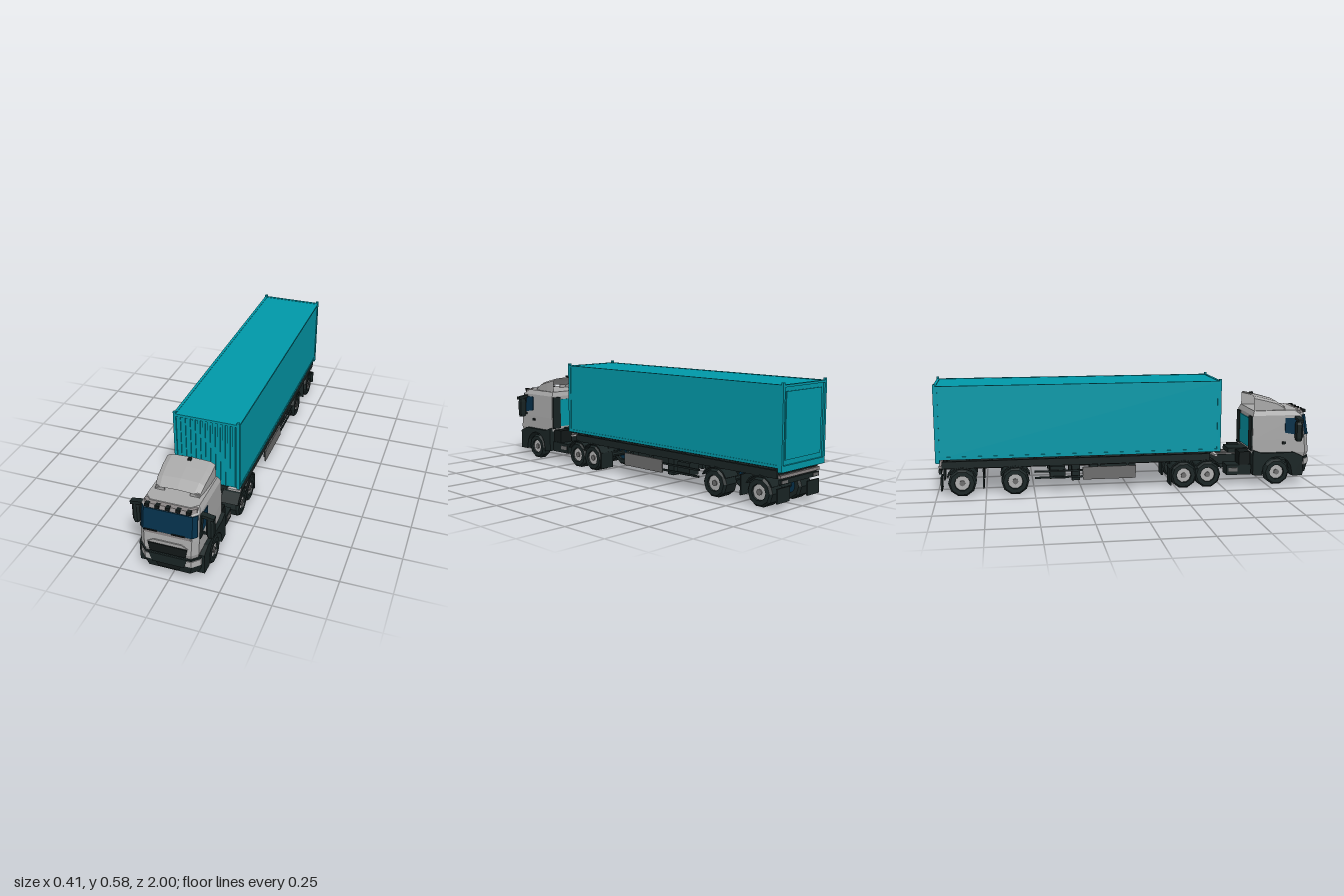
import * as THREE from 'three';

const mat = (name, color, side = THREE.FrontSide) => {
  const m = new THREE.MeshStandardMaterial({ color, side, flatShading: true });
  m.name = name;
  return m;
};

export function createModel() {
  const teal = mat('containerTeal', 0x0098a8);
  const paint = mat('cabGrey', 0xa8a8a8, THREE.DoubleSide);
  const dark = mat('darkPlastic', 0x192424);
  const black = mat('grilleBlack', 0x111818);
  const glass = mat('glassBlue', 0x04304a);
  const metal = mat('paleMetal', 0xb0b0b0);
  const midGrey = mat('midGrey', 0x6c6c6c);
  const trimGrey = mat('trimGrey', 0x8a8585);

  const root = new THREE.Group();
  root.name = 'articulatedTruck';
  const group = (name) => {
    const g = new THREE.Group();
    g.name = name;
    root.add(g);
    return g;
  };
  const add = (parent, name, geo, material) => {
    const m = new THREE.Mesh(geo, material);
    m.name = name;
    parent.add(m);
    return m;
  };
  // Box given by its extents
  const box = (parent, name, material, x0, x1, y0, y1, z0, z1) =>
    add(parent, name, new THREE.BoxGeometry(x1 - x0, y1 - y0, z1 - z0)
      .translate((x0 + x1) / 2, (y0 + y1) / 2, (z0 + z1) / 2), material);
  // The same box on both sides, given by its inner and outer x
  const pair = (parent, name, material, xi, xo, ...rest) => {
    box(parent, name + 'Left', material, xi, xo, ...rest);
    box(parent, name + 'Right', material, -xo, -xi, ...rest);
  };
  // Flat-faced skin over rows of [x, y, z] points
  const skin = (rows, closed) => {
    const v = [];
    const n = rows[0].length;
    for (let r = 0; r < rows.length - 1; r++) {
      for (let i = 0; i < (closed ? n : n - 1); i++) {
        const j = (i + 1) % n, lo = rows[r], hi = rows[r + 1];
        v.push(...lo[i], ...lo[j], ...hi[j], ...lo[i], ...hi[j], ...hi[i]);
      }
    }
    if (closed) {
      const lo = rows[0], hi = rows[rows.length - 1];
      for (let i = 1; i < n - 1; i++) v.push(...hi[0], ...hi[i], ...hi[i + 1], ...lo[0], ...lo[i + 1], ...lo[i]);
    }
    const g = new THREE.BufferGeometry();
    g.setAttribute('position', new THREE.Float32BufferAttribute(v, 3));
    g.computeVertexNormals();
    return g;
  };
  // Body from level outlines [y, half width, rear z, front z, corner cut]
  const loft = (levels) => skin(levels.map(([y, w, b, f, c]) =>
    [[-w + c, y, f], [w - c, y, f], [w, y, f - c], [w, y, b], [-w, y, b], [-w, y, f - c]]), true);
  // Side profile of [z, y] points, extruded across x
  const profile = (pts, x, width) =>
    new THREE.ExtrudeGeometry(new THREE.Shape(pts.map(([z, y]) => new THREE.Vector2(z, y))),
      { depth: width, bevelEnabled: false }).rotateY(-Math.PI / 2).translate(x + width / 2, 0, 0);
  const arc = (z, y, r, a0, a1, n = 8) => Array.from({ length: n + 1 }, (_, i) => {
    const a = THREE.MathUtils.degToRad(a0 + (a1 - a0) * i / n);
    return [z + r * Math.cos(a), y + r * Math.sin(a)];
  });
  // Front plate with a trapezoid outline
  const plate = (wTop, wBottom, y0, y1, z) => new THREE.ExtrudeGeometry(new THREE.Shape(
    [[-wBottom, y0], [wBottom, y0], [wTop, y1], [-wTop, y1]].map((p) => new THREE.Vector2(...p))),
    { depth: 0.008, bevelEnabled: false }).translate(0, 0, z);

  // Container
  const con = group('container');
  box(con, 'containerBody', teal, -0.169, 0.165, 0.203, 0.574, -0.99, 0.478);
  box(con, 'containerFloor', dark, -0.165, 0.161, 0.197, 0.203, -0.985, 0.47);
  for (const x of [-0.172, 0.168]) {
    const x0 = x < 0 ? x : x - 0.014;
    box(con, 'frontPost', teal, x0, x0 + 0.014, 0.2, 0.575, 0.465, 0.485);
    box(con, 'rearPost', teal, x0, x0 + 0.014, 0.182, 0.575, -1, -0.978);
    box(con, 'topRail', teal, x0, x0 + 0.014, 0.566, 0.576, -0.99, 0.48);
    box(con, 'bottomRail', teal, x0, x0 + 0.014, 0.2, 0.214, -0.99, 0.48);
    for (const z of [-1, 0.473]) box(con, 'cornerFitting', teal, x0, x0 + 0.014, 0.575, 0.586, z, z + 0.012);
  }
  box(con, 'rearTopBar', teal, -0.165, 0.165, 0.565, 0.576, -1, -0.985);
  box(con, 'rearSill', teal, -0.165, 0.165, 0.182, 0.212, -1, -0.985);
  box(con, 'rearDoorPanel', teal, -0.14, 0.136, 0.235, 0.545, -0.995, -0.985);
  box(con, 'frontTopBar', teal, -0.165, 0.165, 0.562, 0.576, 0.47, 0.485);
  for (let i = 0; i < 12; i++) {
    const x = -0.147 + i * 0.0255;
    box(con, 'frontRib', teal, x, x + 0.012, 0.21, 0.565, 0.47, 0.483);
  }

  // Cab shell and glass
  const cab = group('cab');
  add(cab, 'cabShell', loft([
    [0.15, 0.135, 0.9, 0.985, 0.025], [0.175, 0.142, 0.67, 0.993, 0.028], [0.25, 0.143, 0.67, 0.985, 0.026],
    [0.38, 0.141, 0.67, 0.963, 0.024], [0.405, 0.128, 0.68, 0.935, 0.03]]), paint);
  add(cab, 'windscreen', loft([[0.272, 0.138, 0.95, 0.9865, 0.018], [0.379, 0.136, 0.93, 0.968, 0.018]]), glass);
  add(cab, 'windscreenSill', loft([[0.256, 0.135, 0.95, 0.987, 0.024], [0.272, 0.135, 0.95, 0.987, 0.024]]), trimGrey);
  for (const x of [-0.06, 0.075]) box(cab, 'wiper', black, x - 0.055, x + 0.01, 0.272, 0.276, 0.985, 0.992);
  add(cab, 'sunVisor', loft([[0.387, 0.129, 0.92, 0.972, 0.03], [0.403, 0.127, 0.92, 0.962, 0.03]]), trimGrey);
  for (let i = -2; i <= 2; i++) box(cab, 'markerLight', black, i * 0.05 - 0.01, i * 0.05 + 0.01, 0.39, 0.405, 0.95, 0.974);
  add(cab, 'grille', plate(0.096, 0.088, 0.16, 0.206, 0.988), black);
  add(cab, 'grilleBrow', plate(0.07, 0.1, 0.208, 0.226, 0.985), paint);
  for (const s of [-1, 1]) {
    add(cab, 'sideWindow', profile([[0.85, 0.285], [0.928, 0.27], [0.918, 0.365], [0.85, 0.365]], s * 0.1415, 0.008), glass);
    add(cab, 'windowFrame', profile([[0.925, 0.255], [0.955, 0.255], [0.936, 0.372], [0.914, 0.372]], s * 0.142, 0.012), dark);
    box(cab, 'doorHandle', black, s * 0.144 - 0.004, s * 0.144 + 0.004, 0.222, 0.236, 0.835, 0.855);
    // Lower body with wheel arch
    add(cab, 'wheelArchSkirt', profile([[0.67, 0.06], [0.722, 0.055], ...arc(0.805, 0.075, 0.083, 180, 0),
      [0.893, 0.05], [0.95, 0.05], [0.95, 0.155], [0.9, 0.178], [0.72, 0.178], [0.67, 0.195]], s * 0.134, 0.054), dark);
    // Mirror and its arm
    add(cab, 'mirrorHousing', loft([[0.245, 0.013, -0.014, 0.014, 0.008], [0.262, 0.0185, -0.017, 0.017, 0.01],
      [0.335, 0.0185, -0.017, 0.017, 0.01], [0.352, 0.013, -0.014, 0.014, 0.008]]).translate(s * 0.181, 0, 0.915), dark);
    add(cab, 'mirrorArm', new THREE.BoxGeometry(0.068, 0.015, 0.028).rotateZ(-s * 0.16).translate(s * 0.17, 0.361, 0.918), dark);
    box(cab, 'mirrorBracket', dark, s * 0.155 - 0.015, s * 0.155 + 0.015, 0.256, 0.266, 0.91, 0.92);
  }
  box(cab, 'cabFloor', dark, -0.11, 0.11, 0.13, 0.19, 0.68, 0.93);

  // Bumper and headlights
  add(cab, 'bumper', loft([[0.042, 0.12, 0.9, 0.965, 0.035], [0.06, 0.142, 0.9, 0.983, 0.04],
    [0.1, 0.147, 0.89, 0.99, 0.035], [0.15, 0.147, 0.89, 0.992, 0.035]]), dark);
  add(cab, 'headlights', loft([[0.106, 0.1485, 0.95, 0.994, 0.035], [0.14, 0.1485, 0.95, 0.995, 0.035]]), metal);
  add(cab, 'bumperCentre', plate(0.095, 0.078, 0.1, 0.149, 0.99), dark);
  add(cab, 'lowerIntake', plate(0.064, 0.05, 0.074, 0.098, 0.985), black);

  // Roof air deflector, an open shell on two front feet
  add(cab, 'airDeflector', skin([[0.86, 0.108, 0.426], [0.81, 0.115, 0.455], [0.74, 0.12, 0.474], [0.68, 0.12, 0.488]]
    .map(([z, w, y]) => [[-w, 0.404, z], [-w, y - 0.016, z], [-w + 0.025, y - 0.004, z], [0, y, z],
      [w - 0.025, y - 0.004, z], [w, y - 0.016, z], [w, 0.404, z]]), false), paint);
  pair(cab, 'deflectorFoot', paint, 0.063, 0.106, 0.403, 0.423, 0.849, 0.857);
  box(cab, 'roofBeacon', black, -0.008, 0.008, 0.484, 0.493, 0.69, 0.706);

  // Rear wall of the cab
  pair(cab, 'rearCornerPanel', dark, 0.085, 0.139, 0.19, 0.375, 0.662, 0.671);
  box(cab, 'rearWallPanel', teal, -0.085, 0.085, 0.2, 0.36, 0.665, 0.671);

  // Tractor chassis
  const chassis = group('tractorChassis');
  pair(chassis, 'frameRail', dark, 0.032, 0.048, 0.1, 0.155, 0.23, 0.93);
  pair(chassis, 'fuelTank', dark, 0.055, 0.14, 0.06, 0.115, 0.53, 0.665);
  pair(chassis, 'tankCover', black, 0.055, 0.135, 0.115, 0.185, 0.6, 0.66);
  pair(chassis, 'tankStep', midGrey, 0.139, 0.144, 0.08, 0.1, 0.54, 0.59);
  pair(chassis, 'couplingRamp', midGrey, 0.025, 0.04, 0.155, 0.165, 0.4, 0.62);
  box(chassis, 'catwalk', dark, -0.055, 0.055, 0.165, 0.19, 0.56, 0.67);
  add(chassis, 'couplingPlate', new THREE.CylinderGeometry(0.07, 0.07, 0.03, 10).translate(0, 0.162, 0.36), black);
  box(chassis, 'tailCrossbar', dark, -0.1, 0.1, 0.11, 0.14, 0.225, 0.24);

  // Trailer chassis
  const trailer = group('trailerChassis');
  pair(trailer, 'mainBeam', dark, 0.045, 0.062, 0.125, 0.19, -0.97, 0.2);
  pair(trailer, 'sideRail', dark, 0.145, 0.16, 0.15, 0.187, -0.97, 0.43);
  for (let i = 0; i < 13; i++) {
    const z = -0.96 + i * 0.115;
    box(trailer, 'crossMember', dark, -0.144, 0.144, 0.165, 0.197, z, z + 0.014);
  }
  box(trailer, 'noseCrossbar', metal, -0.172, 0.168, 0.172, 0.184, 0.452, 0.47);
  box(trailer, 'nosePlate', dark, -0.1, 0.1, 0.177, 0.198, 0.15, 0.475);
  pair(trailer, 'sideGuard', midGrey, 0.155, 0.162, 0.07, 0.137, -0.25, 0.03);
  pair(trailer, 'guardHanger', dark, 0.14, 0.155, 0.07, 0.16, -0.17, -0.155);
  pair(trailer, 'guardHangerFront', dark, 0.14, 0.155, 0.07, 0.16, -0.02, -0.005);
  pair(trailer, 'landingLeg', dark, 0.09, 0.13, 0.06, 0.16, -0.305, -0.262);
  for (const y of [0.082, 0.115]) pair(trailer, 'guardRail', dark, 0.152, 0.16, y, y + 0.009, -0.5, -0.25);
  pair(trailer, 'toolBox', dark, 0.07, 0.14, 0.075, 0.14, -0.42, -0.34);
  box(trailer, 'airTank', dark, -0.04, 0.04, 0.085, 0.135, -0.2, 0.05);
  box(trailer, 'rearBumper', dark, -0.15, 0.15, 0.122, 0.145, -0.985, -0.972);
  box(trailer, 'rearLightBar', trimGrey, -0.155, 0.155, 0.15, 0.165, -0.985, -0.972);
  pair(trailer, 'tailLight', midGrey, 0.1, 0.145, 0.127, 0.14, -0.988, -0.984);
  pair(trailer, 'rearMudflap', dark, 0.07, 0.165, 0.035, 0.105, -0.978, -0.97);
  pair(trailer, 'frontMudflap', dark, 0.075, 0.16, 0.04, 0.14, -0.765, -0.758);
  pair(trailer, 'tractorMudflap', dark, 0.075, 0.162, 0.02, 0.11, 0.215, 0.223);

  // Axles, wheels and mudguards: [z, inner x, outer x, has mudguard]
  const wheels = group('wheels');
  const R = 0.072;
  for (const [z, xi, xo, guard] of [[0.805, 0.1, 0.157, false], [0.42, 0.064, 0.163, true], [0.29, 0.064, 0.163, true],
    [-0.6, 0.064, 0.163, true], [-0.87, 0.064, 0.163, true]]) {
    const h = (xo - xi) / 2;
    const tyre = new THREE.LatheGeometry([[0.037, -h + 0.015], [0.04, -h], [0.062, -h], [R, -h + 0.012], [R, h - 0.012],
      [0.062, h], [0.04, h], [0.037, h - 0.015]].map((p) => new THREE.Vector2(...p)), 10).rotateZ(-Math.PI / 2);
    add(wheels, 'axle', new THREE.CylinderGeometry(0.015, 0.015, 2 * xi + 0.02, 8).rotateZ(Math.PI / 2).translate(0, R, z), dark);
    for (const s of [-1, 1]) {
      const x = s * (xi + xo) / 2;
      add(wheels, 'tyre', tyre.clone().translate(x, R, z), dark);
      // Pale dish outside, blue brake drum inside
      add(wheels, 'rim', new THREE.CylinderGeometry(0.038, 0.038, 0.01, 10).rotateZ(Math.PI / 2)
        .translate(s * (xo - 0.014), R, z), metal);
      add(wheels, 'brakeDrum', new THREE.CylinderGeometry(0.038, 0.038, 0.02, 10).rotateZ(Math.PI / 2)
        .translate(s * (xi + 0.02), R, z), glass);
      add(wheels, 'hub', new THREE.CylinderGeometry(0.015, 0.015, 0.02, 8).rotateZ(Math.PI / 2)
        .translate(s * (xo - 0.013), R, z), midGrey);
      if (guard) add(wheels, 'mudguard', profile([...arc(z, R, 0.084, 25, 155, 6), ...arc(z, R, 0.077, 155, 25, 6)],
        s * 0.116, 0.094), dark);
    }
  }
  return root;
}
